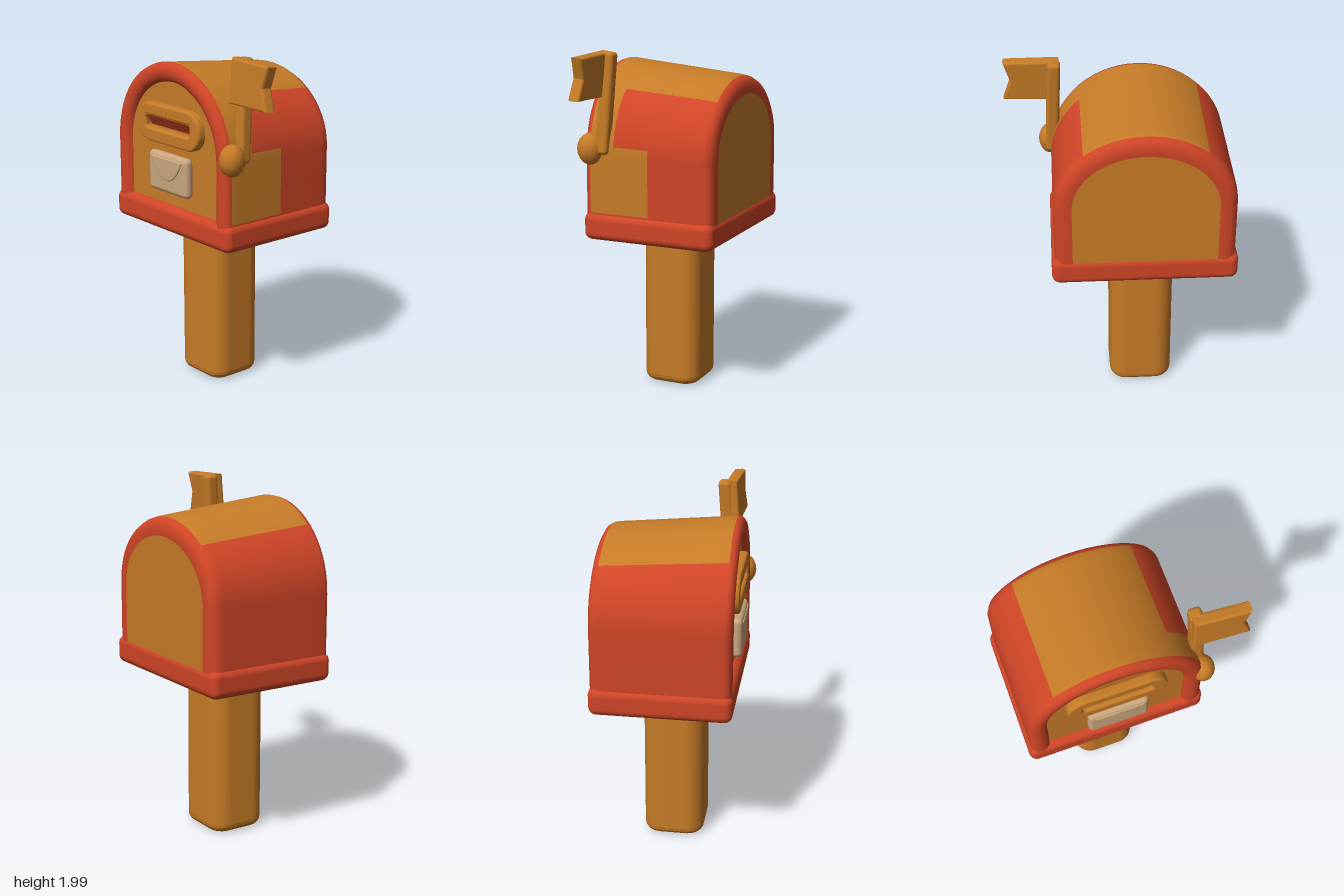
import * as THREE from 'three';
import { RoundedBoxGeometry } from 'three/addons/geometries/RoundedBoxGeometry.js';

const ochre = new THREE.MeshStandardMaterial({ color: 0xc67b27, name: 'ochre' });
const red = new THREE.MeshStandardMaterial({ color: 0xd04527, name: 'red' });
const cream = new THREE.MeshStandardMaterial({ color: 0xcaa67e, name: 'cream' });

const CX = -0.118; // centre line of the box and post
const SPRING = 1.42; // height where the arch begins

function add(parent, name, geometry, material, x = 0, y = 0, z = 0) {
  const mesh = new THREE.Mesh(geometry, material);
  mesh.name = name;
  mesh.position.set(x, y, z);
  parent.add(mesh);
  return mesh;
}

// Arched outline, inset by d; the roof drops towards the back
function arch(d, z, floor = 1.0) {
  const w = 0.503 - d;
  const h = 0.462 + 0.1 * z - d;
  const pts = [[w, floor], [w, 1.09], [w, 1.25]];
  for (let a = 0; a <= 180; a += 6) {
    const t = THREE.MathUtils.degToRad(a);
    pts.push([w * Math.cos(t), SPRING + h * Math.sin(t)]);
  }
  pts.push([-w, 1.25], [-w, 1.09], [-w, floor]);
  return pts;
}

// Shell lofted from back lip to front lip, as [inset, z]
function shellGeometry() {
  const rings = [
    [0.1, -0.4], [0.07, -0.402], [0.04, -0.399], [0.015, -0.385], [0.003, -0.362],
    [0, -0.33], [0, -0.18], [0, -0.02], [0, 0.08], [0, 0.19], [0, 0.27], [0, 0.335],
    [0.008, 0.357], [0.028, 0.372], [0.055, 0.377], [0.083, 0.371], [0.103, 0.357], [0.113, 0.33],
  ];
  const pos = [];
  const faces = [[], []];
  const n = arch(0, 0).length;
  rings.forEach(([d, z], i) => {
    for (const [x, y] of arch(d, z)) pos.push(x, y, z);
    if (i === 0) return;
    const zm = (z + rings[i - 1][1]) / 2;
    for (let j = 0; j < n - 1; j++) {
      const a = (i - 1) * n + j;
      const onSide = zm > -0.36 && zm < 0.34;
      const roof = onSide && j >= 11 && j < 25;
      const sidePatch = onSide && zm > -0.02 && j >= 1 && j < 4;
      const behindPole = onSide && zm > 0.19 && j >= 4 && j < 11;
      faces[roof || sidePatch || behindPole ? 1 : 0].push(a, a + 1, a + n + 1, a, a + n + 1, a + n);
    }
  });
  const g = new THREE.BufferGeometry();
  g.setAttribute('position', new THREE.Float32BufferAttribute(pos, 3));
  g.setIndex([...faces[0], ...faces[1]]);
  g.addGroup(0, faces[0].length, 0);
  g.addGroup(faces[0].length, faces[1].length, 1);
  g.computeVertexNormals();
  return g;
}

function panelGeometry(d, z) {
  return new THREE.ShapeGeometry(new THREE.Shape(arch(d, z).map(([x, y]) => new THREE.Vector2(x, y))));
}

function roundedRect(w, h, r) {
  const s = new THREE.Shape();
  const x = w / 2 - r;
  const y = h / 2 - r;
  s.absarc(x, y, r, 0, Math.PI / 2);
  s.absarc(-x, y, r, Math.PI / 2, Math.PI);
  s.absarc(-x, -y, r, Math.PI, Math.PI * 1.5);
  s.absarc(x, -y, r, Math.PI * 1.5, Math.PI * 2);
  s.closePath();
  return s;
}

export function createModel() {
  const model = new THREE.Group();
  model.name = 'mailbox';

  // Post with a softened foot
  const postGeo = new THREE.ExtrudeGeometry(roundedRect(0.27, 0.25, 0.05), {
    depth: 0.9, bevelThickness: 0.05, bevelSize: 0.05, bevelSegments: 4, curveSegments: 5,
  });
  postGeo.rotateX(-Math.PI / 2);
  add(model, 'post', postGeo, ochre, CX, 0.055, 0.01);

  // Box
  const box = new THREE.Group();
  box.name = 'box';
  box.position.x = CX;
  model.add(box);
  add(box, 'baseSlab', new RoundedBoxGeometry(1.04, 0.16, 0.79, 4, 0.045), red, 0, 1.01, -0.013);
  add(box, 'archedShell', shellGeometry(), [red, ochre]);
  add(box, 'frontPanel', panelGeometry(0.11, 0.33), ochre, 0, 0, 0.338);
  add(box, 'backPanel', panelGeometry(0.1, -0.4), ochre, 0, 0, -0.4).rotation.y = Math.PI;

  // Letter slot: raised frame around an inward sloping throat
  const frame = roundedRect(0.54, 0.2, 0.095);
  frame.holes.push(new THREE.Path(roundedRect(0.42, 0.09, 0.03).getPoints(5).reverse()));
  add(box, 'slotFrame', new THREE.ExtrudeGeometry(frame, {
    depth: 0.03, bevelThickness: 0.018, bevelSize: 0.012, bevelSegments: 3, curveSegments: 8,
  }), ochre, 0, 1.56, 0.338);
  add(box, 'slotThroat', new THREE.PlaneGeometry(0.42, 0.1), red, 0, 1.568, 0.36).rotation.x = 0.6;

  // Envelope with a pointed flap
  const letter = new THREE.Group();
  letter.name = 'envelope';
  letter.position.set(0.005, 1.286, 0.365);
  box.add(letter);
  add(letter, 'envelopeBody', new RoundedBoxGeometry(0.35, 0.23, 0.06, 4, 0.028), cream);
  const flap = new THREE.Shape();
  flap.moveTo(-0.13, 0.085);
  flap.quadraticCurveTo(-0.07, -0.03, 0, -0.03);
  flap.quadraticCurveTo(0.07, -0.03, 0.13, 0.085);
  flap.closePath();
  add(letter, 'envelopeFlap', new THREE.ExtrudeGeometry(flap, {
    depth: 0.002, bevelThickness: 0.006, bevelSize: 0.008, bevelSegments: 2,
  }), cream, 0, 0, 0.028);

  // Signal flag on its pivot
  const signal = new THREE.Group();
  signal.name = 'signalFlag';
  model.add(signal);
  const knob = add(signal, 'pivotKnob', new THREE.SphereGeometry(1, 16, 10), ochre, 0.385, 1.455, 0.333);
  knob.scale.set(0.068, 0.09, 0.075);
  const pole = add(signal, 'pole', new RoundedBoxGeometry(0.075, 0.57, 0.075, 3, 0.022), ochre, 0.367, 1.712, 0.238);
  pole.rotation.set(-0.07, 0, 0.04);
  const cloth = new THREE.Shape([
    [0, 0.01], [0.29, 0.01], [0.25, 0.12], [0.285, 0.225], [0, 0.235],
  ].map(([x, y]) => new THREE.Vector2(x, y)));
  const flag = add(signal, 'flag', new THREE.ExtrudeGeometry(cloth, {
    depth: 0.036, bevelThickness: 0.016, bevelSize: 0.012, bevelSegments: 3,
  }), ochre, 0.34, 1.75, 0.258);
  flag.rotation.set(-0.08, -0.06, 0);

  return model;
}
